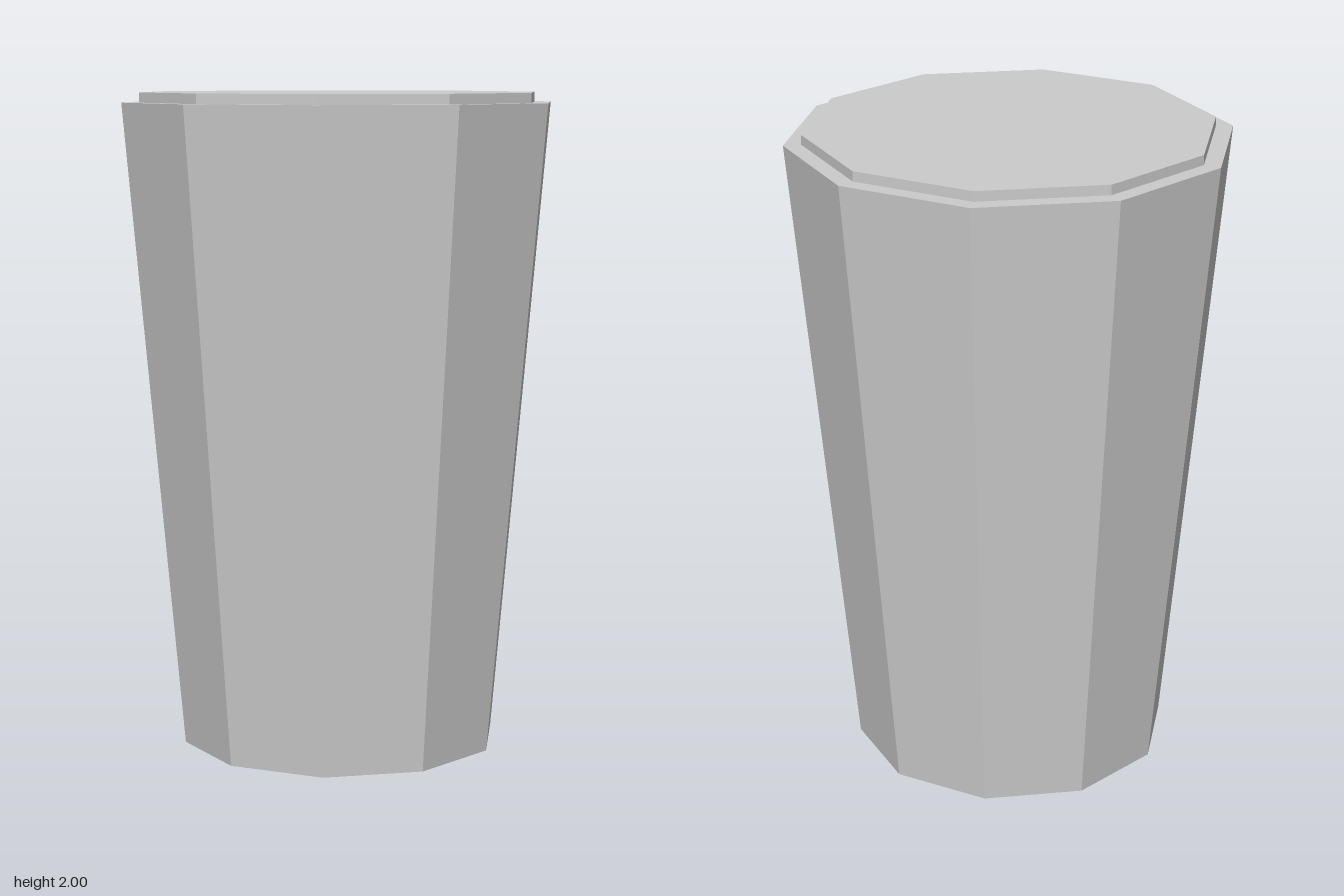
import * as THREE from 'three';

const SIDES = 10;

// Ten-sided solid turned from a profile of [radius, height] points, bottom to top
function turned(name, profile, material) {
  const points = profile.map(([r, y]) => new THREE.Vector2(r, y));
  const mesh = new THREE.Mesh(new THREE.LatheGeometry(points, SIDES), material);
  mesh.name = name;
  return mesh;
}

export function createModel() {
  const group = new THREE.Group();
  group.name = 'taperedCup';
  const grey = new THREE.MeshStandardMaterial({ color: 0xcccccc, flatShading: true });

  // Tapered body with a closed base and a flat rim
  group.add(turned('body', [[0, 0], [0.49, 0], [0.666, 1.97], [0.613, 1.97]], grey));

  // Thin raised disc on top, inset from the rim
  group.add(turned('lid', [[0.613, 1.97], [0.613, 2], [0, 2]], grey));

  return group;
}
